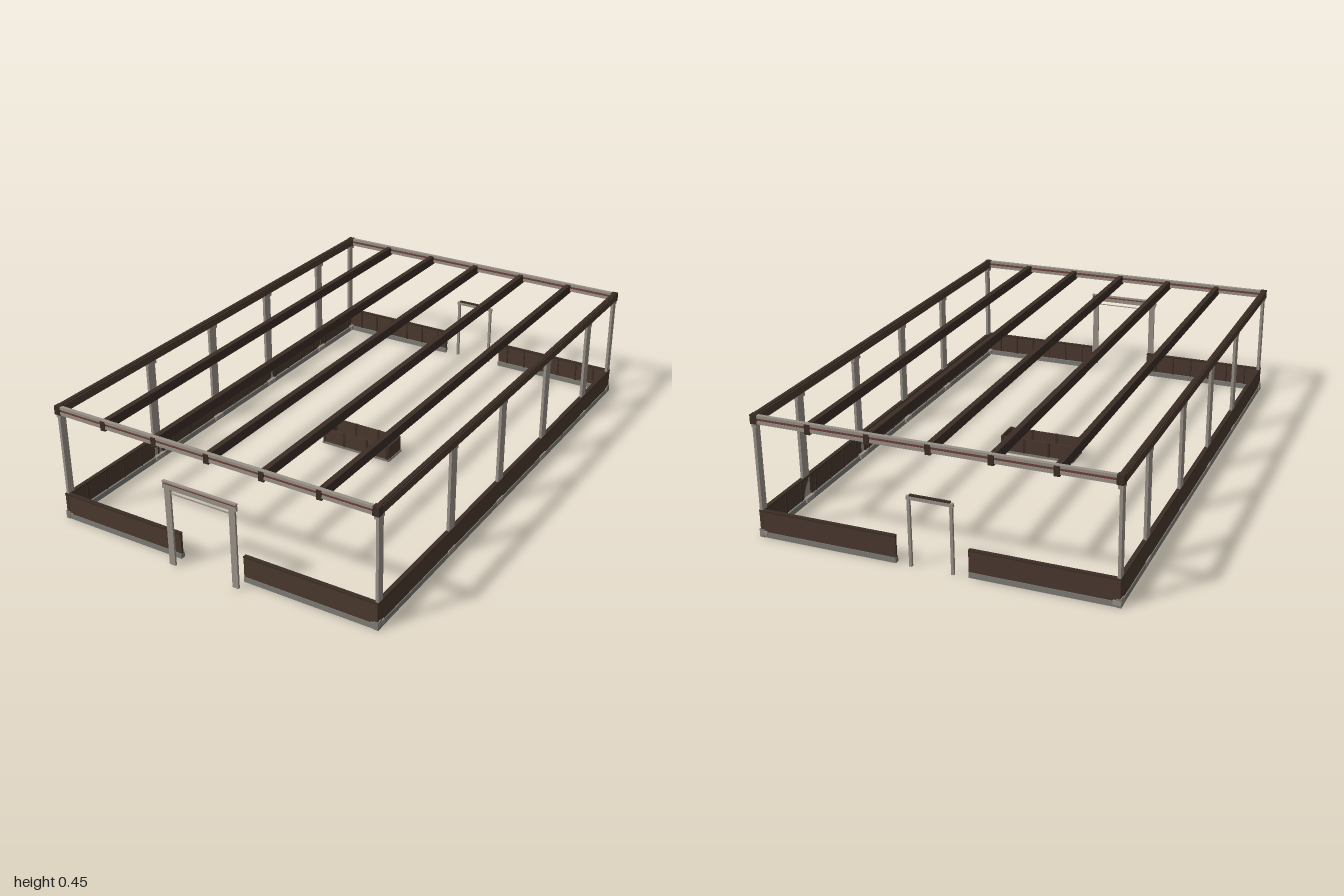
import * as THREE from 'three';

const paint = (color) => new THREE.MeshStandardMaterial({ color });

export function createModel() {
  const model = new THREE.Group();
  model.name = 'pavilionFrame';
  const wood = paint(0x4a382e), darkWood = paint(0x3a2d25), stone = paint(0x989086);
  const base = paint(0x7c7a74), red = paint(0x6e3f3a);

  // Box given by its minimum and maximum on each axis
  const block = (parent, name, mat, [x0, x1], [y0, y1], [z0, z1]) => {
    const mesh = new THREE.Mesh(new THREE.BoxGeometry(x1 - x0, y1 - y0, z1 - z0), mat);
    mesh.position.set((x0 + x1) / 2, (y0 + y1) / 2, (z0 + z1) / 2);
    mesh.name = name;
    parent.add(mesh);
    return mesh;
  };
  // Range on the side s of the x axis
  const side = (s, a, b) => (s > 0 ? [a, b] : [-b, -a]);
  const group = (name) => {
    const g = new THREE.Group();
    g.name = name;
    model.add(g);
    return g;
  };

  const Z0 = -0.997, Z1 = 0.95;
  const postZ = [0.93, 0.45, 0.07, -0.31, -0.71, -0.98];

  // Long sides: base, low wall, posts and top rail
  for (const s of [1, -1]) {
    const g = group(s > 0 ? 'leftSide' : 'rightSide');
    block(g, 'baseRail', base, side(s, 0.622, 0.643), [0, 0.02], [Z0, Z1]);
    block(g, 'lowWall', wood, side(s, 0.629, 0.64), [0.02, 0.095], [Z0, Z1]);
    block(g, 'wallCap', darkWood, side(s, 0.626, 0.642), [0.095, 0.1], [Z0, Z1]);
    block(g, 'topRail', wood, side(s, 0.622, 0.643), [0.418, 0.447], [Z0, Z1]);
    block(g, 'topRailLip', darkWood, side(s, 0.626, 0.64), [0.447, 0.451], [Z0, Z1]);
    for (let z = -0.95; z < 0.93; z += 0.1) {
      block(g, 'wallBatten', darkWood, side(s, 0.626, 0.629), [0.02, 0.095], [z - 0.003, z + 0.003]);
    }
    postZ.forEach((z, i) => {
      const w = i === 0 || i === 5 ? 0.014 : 0.02;
      block(g, 'post', stone, side(s, 0.629, 0.6395), [0.02, 0.42], [z - w, z + w]);
      block(g, 'postHead', stone, side(s, 0.624, 0.641), [0.403, 0.418], [z - w - 0.003, z + w + 0.003]);
      block(g, 'postFoot', stone, side(s, 0.616, 0.644), [0.008, 0.024], [z - w - 0.005, z + w + 0.005]);
    });
  }

  // Short ends: low walls with a doorway gap and a layered top rail
  for (const end of [1, -1]) {
    const g = group(end > 0 ? 'frontEnd' : 'backEnd');
    const zRange = (a, b) => (end > 0 ? [Z1 - b, Z1 - a] : [Z0 + a, Z0 + b]);
    block(g, 'topRailLower', stone, [-0.64, 0.64], [0.418, 0.43], zRange(0, 0.014));
    block(g, 'topRailStripe', red, [-0.64, 0.64], [0.43, 0.439], zRange(0.002, 0.013));
    block(g, 'topRailUpper', stone, [-0.64, 0.64], [0.439, 0.449], zRange(0, 0.014));
    for (const s of [1, -1]) {
      block(g, 'baseRail', base, side(s, 0.13, 0.64), [0, 0.02], zRange(0, 0.018));
      block(g, 'lowWall', wood, side(s, 0.13, 0.64), [0.02, 0.095], zRange(0.002, 0.012));
      block(g, 'wallCap', darkWood, side(s, 0.13, 0.64), [0.095, 0.1], zRange(0, 0.015));
      for (let x = 0.17; x < 0.62; x += 0.08) {
        block(g, 'wallBatten', darkWood, side(s, x, x + 0.006), [0.02, 0.095], zRange(0.012, 0.015));
      }
      block(g, 'cornerFoot', base, side(s, 0.627, 0.644), [0, 0.03], zRange(-0.002, 0.02));
      block(g, 'cornerCap', darkWood, side(s, 0.62, 0.644), [0.417, 0.45], zRange(-0.002, 0.02));
    }
  }

  // Roof beams
  const beams = group('roofBeams');
  for (const x of [-0.43, -0.215, 0, 0.215, 0.43]) {
    block(beams, 'roofBeam', darkWood, [x - 0.01, x + 0.01], [0.411, 0.446], [Z0 - 0.002, Z1 + 0.002]);
  }

  // Front door frame, standing just ahead of the wall
  const front = group('frontDoorFrame');
  for (const s of [1, -1]) {
    block(front, 'doorJamb', stone, side(s, 0.118, 0.142), [0.004, 0.302], [0.991, 0.999]);
  }
  block(front, 'doorLintel', stone, [-0.148, 0.148], [0.302, 0.318], [0.99, 1]);
  block(front, 'lintelStripe', red, [-0.146, 0.146], [0.318, 0.324], [0.991, 0.999]);
  block(front, 'lintelCap', stone, [-0.148, 0.148], [0.324, 0.33], [0.99, 1]);
  block(front, 'doorTrim', stone, [-0.118, 0.118], [0.285, 0.288], [0.993, 0.997]);

  // Narrow back door frame
  const back = group('backDoorFrame');
  for (const s of [1, -1]) {
    block(back, 'doorJamb', stone, side(s, 0.07, 0.08), [0, 0.245], [-1, -0.99]);
  }
  block(back, 'doorLintel', stone, [-0.083, 0.083], [0.243, 0.255], [-1, -0.989]);
  block(back, 'lintelCap', darkWood, [-0.072, 0.072], [0.255, 0.261], [-0.999, -0.99]);

  // Open wooden box in the middle of the floor
  const box = group('centreBox');
  block(box, 'boxFloor', base, [-0.15, 0.15], [0.006, 0.014], [-0.075, 0.025]);
  for (const z of [-0.072, 0.018]) {
    block(box, 'boxLongWall', wood, [-0.147, 0.147], [0.014, 0.073], [z, z + 0.004]);
    for (const x of [-0.14, -0.05, 0.05, 0.14]) {
      block(box, 'boxBatten', darkWood, [x - 0.005, x + 0.005], [0.014, 0.073], [z - 0.002, z + 0.006]);
    }
  }
  for (const s of [1, -1]) {
    block(box, 'boxShortWall', wood, side(s, 0.143, 0.147), [0.014, 0.073], [-0.068, 0.018]);
  }

  return model;
}
